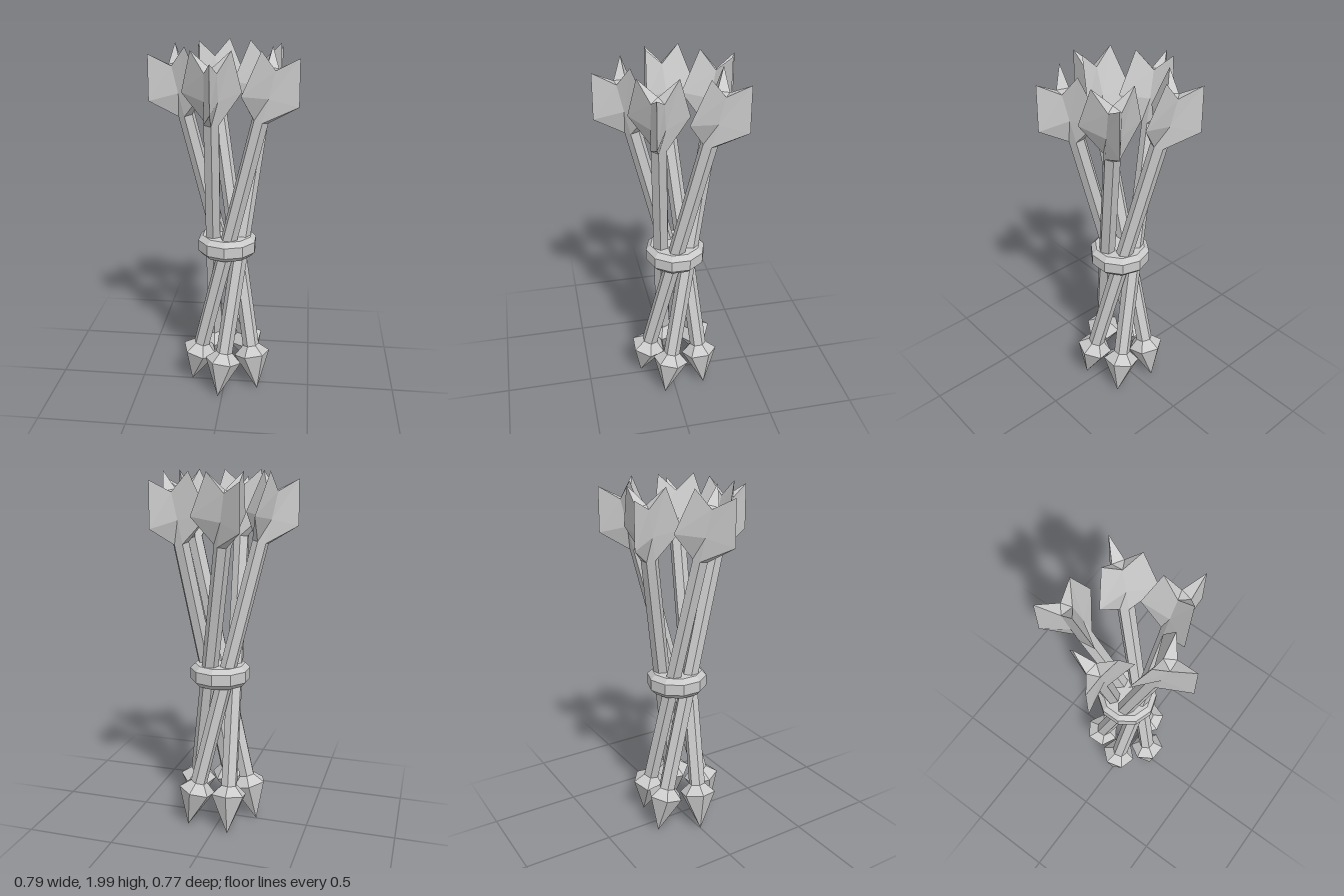
import * as THREE from 'three';

const SIDES = 6;

// Ring of six points; even corners are vane corners, odd corners are the notches between vanes
function ring(sEven, rEven, sOdd = sEven, rOdd = rEven) {
  return Array.from({ length: SIDES }, (_, k) => {
    const a = (k / SIDES) * Math.PI * 2;
    const r = k % 2 ? rOdd : rEven;
    return [r * Math.sin(a), k % 2 ? sOdd : sEven, r * Math.cos(a)];
  });
}

// Skins consecutive rings, plus any extra cap triangles
function loft(rings, caps = []) {
  const pos = [];
  const tri = (...pts) => pts.forEach((p) => pos.push(...p));
  for (let i = 0; i < rings.length - 1; i++) {
    const lo = rings[i], hi = rings[i + 1];
    for (let k = 0; k < SIDES; k++) {
      const n = (k + 1) % SIDES;
      tri(lo[k], lo[n], hi[n]);
      tri(lo[k], hi[n], hi[k]);
    }
  }
  caps.forEach((c) => tri(...c));
  const geo = new THREE.BufferGeometry();
  geo.setAttribute('position', new THREE.Float32BufferAttribute(pos, 3));
  geo.computeVertexNormals();
  return geo;
}

export function createModel() {
  const material = new THREE.MeshStandardMaterial({ color: 0xcccccc, flatShading: true });
  const model = new THREE.Group();
  model.name = 'arrowBundle';
  const add = (parent, name, geo) => {
    const mesh = new THREE.Mesh(geo, material);
    mesh.name = name;
    parent.add(mesh);
    return mesh;
  };

  // Arrowhead: point, widest ring and shoulder
  const tip = [0, 0, 0];
  const widest = ring(0.225, 0.103);
  const shoulder = ring(0.275, 0.047);
  const point = widest.map((p, k) => [tip, widest[(k + 1) % SIDES], p]);
  const headGeo = loft([widest, shoulder], point);

  // Hexagonal shaft
  const base = ring(1.675, 0.045);
  const shaftGeo = loft([shoulder, base]);

  // Three wedge-shaped vanes with a notched top
  const vaneBottom = ring(1.803, 0.178, 1.803, 0.042);
  const vaneTop = ring(2.037, 0.117, 1.95, 0.037);
  const caps = [0, 2, 4].map((k) => [vaneTop[(k + 5) % SIDES], vaneTop[k], vaneTop[k + 1]]);
  caps.push([vaneTop[1], vaneTop[3], vaneTop[5]]);
  const fletchGeo = loft([base, vaneBottom, vaneTop], caps);

  // Five leaning arrows crossing at the binding
  const bundle = new THREE.Group();
  bundle.name = 'arrows';
  bundle.position.set(0.01, 0, -0.03);
  model.add(bundle);
  for (let i = 0; i < 5; i++) {
    const spoke = new THREE.Group();
    spoke.name = 'arrowTurn' + (i + 1);
    spoke.rotation.y = (i * Math.PI * 2) / 5;
    const arrow = new THREE.Group();
    arrow.name = 'arrow' + (i + 1);
    arrow.position.set(-0.095, 0.01, -0.19);
    arrow.rotation.set(0.243, 0.086, 0, 'YXZ');
    add(arrow, 'arrowHead', headGeo);
    add(arrow, 'shaft', shaftGeo);
    add(arrow, 'fletching', fletchGeo);
    spoke.add(arrow);
    bundle.add(spoke);
  }

  // Bevelled ten-sided binding around the middle
  const profile = [[0, 0.84], [0.14, 0.84], [0.167, 0.868], [0.167, 0.93], [0.14, 0.957], [0, 0.957]];
  add(bundle, 'binding', new THREE.LatheGeometry(profile.map(([r, y]) => new THREE.Vector2(r, y)), 10));

  return model;
}
